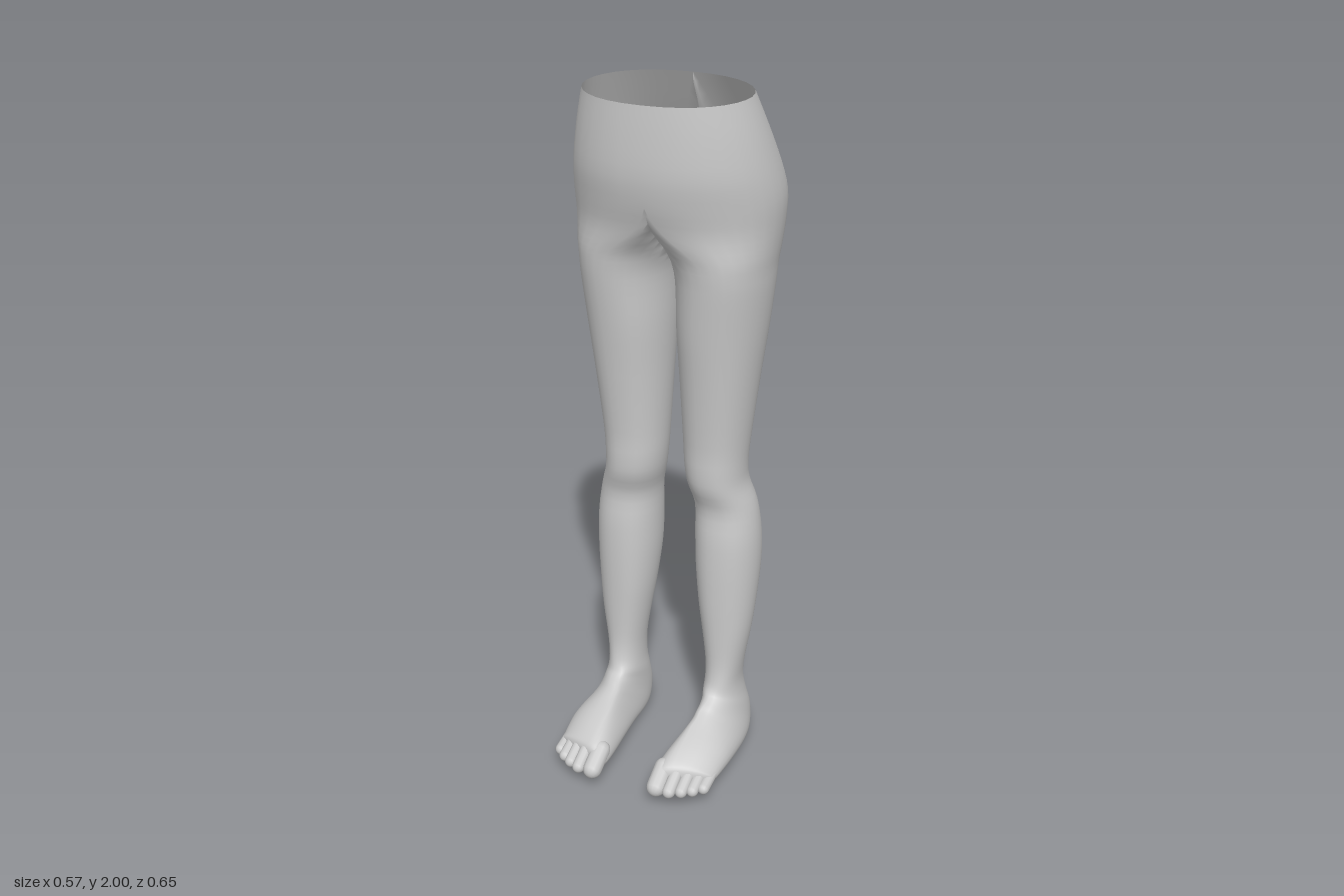
import * as THREE from 'three';
import { mergeVertices } from 'three/addons/utils/BufferGeometryUtils.js';

const SEG = 32; // points round each section
const SUB = 3; // smooth steps between two sections

// Sections of one side, from the waist down the leg and along the foot:
// front y, front z, back y, back z, inner x, outer x, x of front ridge, x of back ridge
const PELVIS = [
  [1.985, .15, 2.0, -.178, 0, .228, 0, 0],
  [1.9, .152, 1.9, -.235, -.1, .253, 0, .04],
  [1.8, .15, 1.8, -.293, -.1, .275, 0, .07],
  [1.72, .135, 1.72, -.325, -.09, .286, 0, .08],
  [1.65, .112, 1.65, -.312, -.06, .284, .04, .1],
  [1.58, .094, 1.58, -.282, -.02, .277, .12, .13],
  [1.53, .087, 1.53, -.262, .003, .271, .14, .14],
];
const LEG = [
  [1.47, .08, 1.47, -.251, .012, .267, .14, .14],
  [1.35, .065, 1.35, -.234, .013, .255, .13, .13],
  [1.2, .045, 1.2, -.21, .02, .236, .13, .13],
  [1.02, .025, 1.02, -.187, .029, .216, .125, .12],
  [.94, .022, .94, -.18, .034, .21, .125, .12],
  [.88, .016, .88, -.183, .042, .213, .13, .13],
  [.81, -.004, .81, -.194, .058, .235, .145, .14],
  [.72, .002, .72, -.205, .06, .248, .15, .15],
  [.62, .003, .62, -.206, .063, .25, .15, .155],
  [.5, 0, .5, -.185, .075, .243, .15, .16],
  [.4, -.004, .4, -.166, .09, .233, .155, .165],
  [.3, -.006, .3, -.154, .104, .217, .16, .165],
  [.24, .002, .22, -.158, .106, .209, .16, .165],
];
const FOOT = [
  [.212, .015, .15, -.172, .102, .214, .15, .17],
  [.2, .03, .09, -.187, .102, .223, .15, .172],
  [.19, .05, .04, -.18, .102, .23, .145, .172],
  [.18, .067, .012, -.15, .1, .238, .14, .17],
  [.17, .09, .005, -.1, .098, .245, .14, .17],
  [.16, .12, .014, -.02, .094, .252, .135, .17],
  [.148, .16, .026, .08, .084, .254, .135, .165],
  [.134, .2, .03, .17, .076, .25, .135, .16],
  [.115, .24, .036, .225, .076, .245, .135, .16],
  [.1, .254, .05, .245, .085, .238, .145, .16],
  [.08, .258, .07, .256, .13, .19, .155, .16],
  [.076, .258, .075, .257, .155, .165, .16, .16],
];

// Catmull-Rom blend of neighbouring sections
function refine(rows) {
  const out = [];
  for (let i = 0; i < rows.length - 1; i++) {
    const [a, b, c, d] = [rows[Math.max(i - 1, 0)], rows[i], rows[i + 1], rows[Math.min(i + 2, rows.length - 1)]];
    for (let s = 0; s < SUB; s++) {
      const t = s / SUB;
      out.push(b.map((v, k) => v + .5 * t * (c[k] - a[k] + t * (2 * a[k] - 5 * v + 4 * c[k] - d[k]
        + t * (3 * (v - c[k]) + d[k] - a[k])))));
    }
  }
  out.push(rows[rows.length - 1]);
  return out;
}

// One point of a section; the midline x = 0 is never crossed
function sectionPoint([yf, zf, yb, zb, xi, xo, cf, cb], j) {
  const t = (j / SEG) * Math.PI * 2;
  const s = Math.sign(Math.sin(t)) * Math.pow(Math.abs(Math.sin(t)), .9);
  let u = Math.cos(t);
  // the foot is widest near the sole
  const low = THREE.MathUtils.clamp((.2 - yb) / .2, 0, 1);
  u -= .3 * low * (1 - u * u);
  const f = (1 + u) / 2;
  const c = THREE.MathUtils.lerp(cb, cf, f);
  const x = Math.max(0, j % SEG === SEG / 2 || j % SEG === 0 ? c : c + (s > 0 ? xo - c : c - xi) * s);
  const y = THREE.MathUtils.lerp(yb, yf, f);
  let z = THREE.MathUtils.lerp(zb, zf, f);
  // the ball of the foot slants back towards the little toe
  if (y < .2) z -= .4 * (x - .16) * THREE.MathUtils.clamp((z - .1) / .13, 0, 1);
  return [x, y, z];
}

// Both sides as one welded skin; face lists are kept per body part
function buildSkin() {
  const rows = refine([...PELVIS, ...LEG, ...FOOT]);
  const pelvisEnd = (PELVIS.length - 1) * SUB;
  const legEnd = (PELVIS.length + LEG.length - 1) * SUB;
  const pos = [], index = [], ranges = [];
  for (const side of [1, -1]) {
    const base = pos.length / 3;
    rows.forEach(r => {
      for (let j = 0; j < SEG; j++) {
        const [x, y, z] = sectionPoint(r, j);
        pos.push(side * x, y, z);
      }
    });
    const tri = (a, b, c) => {
      // nothing is drawn on the midline between the two halves
      if ([a, b, c].every(v => Math.abs(pos[v * 3]) < 1e-6)) return;
      if (side > 0) index.push(a, b, c);
      else index.push(a, c, b);
    };
    const word = side > 0 ? 'left' : 'right';
    for (const [name, from, to] of [['PelvisHalf', 0, pelvisEnd], ['Leg', pelvisEnd, legEnd], ['Foot', legEnd, rows.length - 1]]) {
      const start = index.length;
      for (let i = from; i < to; i++) {
        for (let j = 0; j < SEG; j++) {
          const a = base + i * SEG + j, c = base + i * SEG + (j + 1) % SEG;
          tri(a, a + SEG, c + SEG);
          tri(a, c + SEG, c);
        }
      }
      ranges.push([word + name, start, index.length]);
    }
  }
  let geo = new THREE.BufferGeometry();
  geo.setAttribute('position', new THREE.Float32BufferAttribute(pos, 3));
  geo.setIndex(index);
  geo = mergeVertices(geo, 1e-5);
  geo.computeVertexNormals();
  const faces = Array.from(geo.index.array);
  return ranges.map(([name, start, end]) => {
    const part = new THREE.BufferGeometry();
    part.setAttribute('position', geo.attributes.position);
    part.setAttribute('normal', geo.attributes.normal);
    part.setIndex(faces.slice(start, end));
    return [name, part];
  });
}

// Toes: x, tip z, radius, height of the root
const TOES = [
  [.102, .325, .028, .088],
  [.144, .322, .019, .09],
  [.176, .307, .018, .085],
  [.204, .289, .0175, .078],
  [.229, .266, .017, .07],
];

export function createModel() {
  const group = new THREE.Group();
  const skin = new THREE.MeshStandardMaterial({ color: 0xcccccc, side: THREE.DoubleSide });

  for (const [name, geo] of buildSkin()) {
    const mesh = new THREE.Mesh(geo, skin);
    mesh.name = name;
    group.add(mesh);
  }

  for (const side of [1, -1]) {
    const toes = new THREE.Group();
    toes.name = side > 0 ? 'leftToes' : 'rightToes';
    TOES.forEach(([x, tip, r, rootY], k) => {
      const root = new THREE.Vector3(side * x, rootY, tip - .085);
      const end = new THREE.Vector3(side * x, .058, tip - r);
      const dir = end.clone().sub(root);
      const toe = new THREE.Mesh(new THREE.CapsuleGeometry(r, dir.length(), 5, 12), skin);
      toe.position.copy(root).add(end).multiplyScalar(.5);
      toe.quaternion.setFromUnitVectors(new THREE.Vector3(0, 1, 0), dir.normalize());
      toe.name = k === 0 ? 'bigToe' : 'toe' + (k + 1);
      toes.add(toe);
    });
    group.add(toes);
  }
  return group;
}
